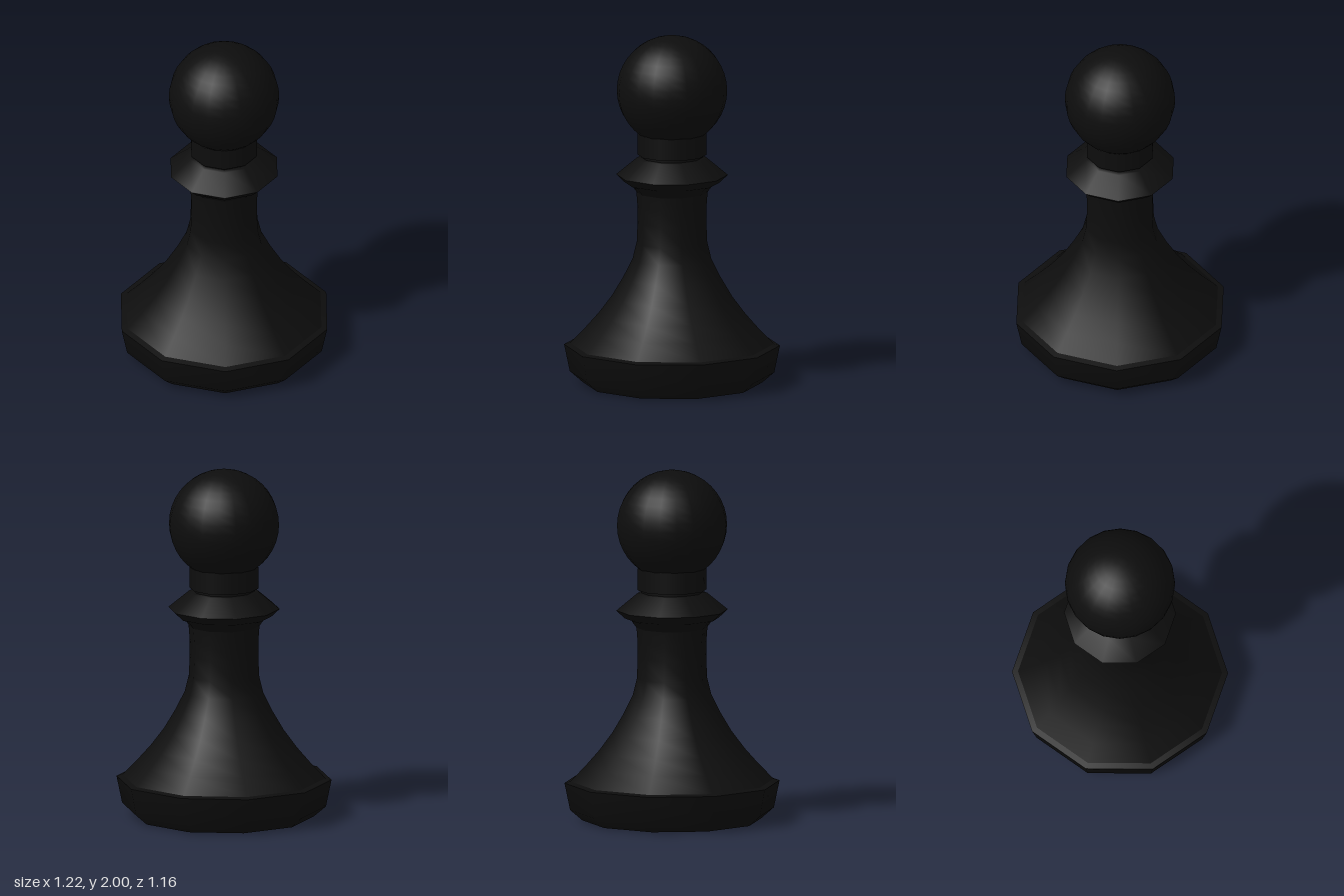
import * as THREE from 'three';

const SIDES = 10;

export function createModel() {
  const model = new THREE.Group();
  model.name = 'pawn';
  const black = new THREE.MeshStandardMaterial({ color: 0x0d0d0d });
  black.name = 'black';

  // Ten-sided turned part, profile given from bottom to top with a corner on +x
  function turned(name, profile) {
    const points = profile.map(([r, y]) => new THREE.Vector2(r, y));
    const geometry = new THREE.LatheGeometry(points, SIDES, Math.PI / 2);
    const mesh = new THREE.Mesh(geometry, black);
    mesh.name = name;
    model.add(mesh);
  }

  // Foot: flat underside, chamfer and flared rim
  turned('underside', [[0, 0], [0.51, 0]]);
  turned('foot', [[0.51, 0], [0.58, 0.06], [0.612, 0.215]]);
  turned('footRim', [[0.612, 0.215], [0.578, 0.224]]);

  // Body: concave sweep up to the straight stem
  turned('body', [
    [0.578, 0.224], [0.49, 0.315], [0.415, 0.4], [0.34, 0.5], [0.275, 0.61],
    [0.223, 0.715], [0.2, 0.81], [0.195, 0.93], [0.196, 1.02], [0.202, 1.1],
  ]);

  // Collar: sharp-edged ring
  turned('collarUnderside', [[0.202, 1.1], [0.232, 1.142], [0.27, 1.155], [0.317, 1.2]]);
  turned('collarTop', [[0.317, 1.2], [0.2, 1.296], [0.175, 1.3]]);

  // Neck: narrow groove, then a short straight band under the head
  turned('neckGroove', [[0.175, 1.3], [0.175, 1.315]]);
  turned('neckUnderside', [[0.175, 1.315], [0.195, 1.315]]);
  turned('neck', [[0.195, 1.315], [0.195, 1.44]]);
  turned('neckTop', [[0.195, 1.44], [0.15, 1.46]]);

  // Head: smooth ball
  const head = new THREE.Mesh(new THREE.SphereGeometry(0.313, 20, 20), black);
  head.name = 'head';
  head.position.y = 1.687;
  model.add(head);

  return model;
}
